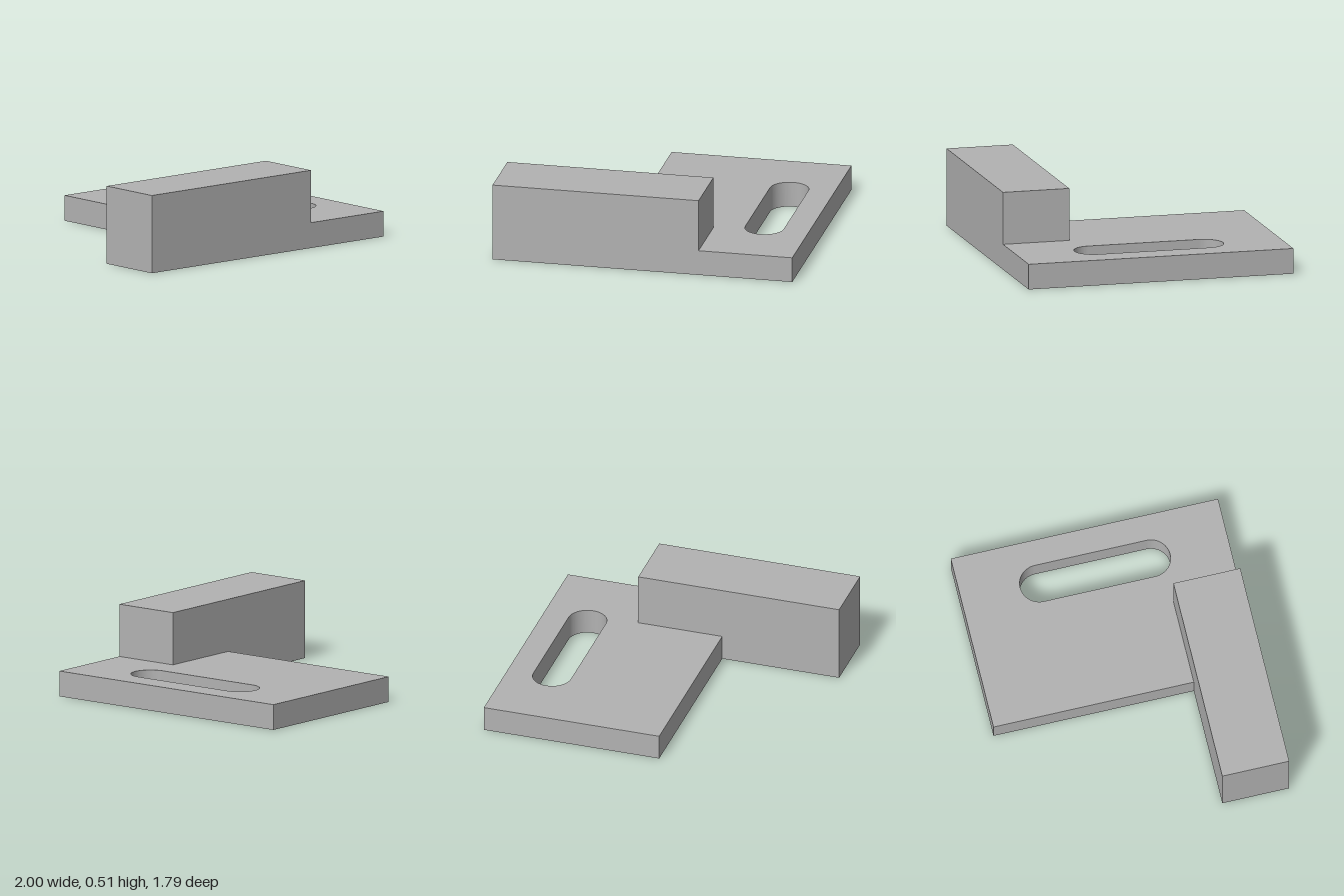
import * as THREE from 'three';
import { toCreasedNormals } from 'three/addons/utils/BufferGeometryUtils.js';

export function createModel() {
  const group = new THREE.Group();
  group.name = 'slottedBracket';
  const grey = new THREE.MeshStandardMaterial({ color: 0xb2b2b2 });
  grey.name = 'plain grey';

  const halfDepth = 0.895, barBack = 0.447, barEnd = 0.375;
  const plateHeight = 0.168, height = 0.515;

  // Base plate: L-shaped footprint drawn as (x, -z)
  const footprint = new THREE.Shape([
    [-1, -halfDepth], [1, -halfDepth], [1, halfDepth],
    [-0.2, halfDepth], [-0.2, -barBack], [-1, -barBack],
  ].map(([x, y]) => new THREE.Vector2(x, y)));

  // Rounded slot through the plate
  const slotX = 0.7, slotRadius = 0.128, slotHalf = 0.502 - slotRadius;
  const slot = new THREE.Path();
  slot.absarc(slotX, slotHalf, slotRadius, 0, Math.PI, false);
  slot.absarc(slotX, -slotHalf, slotRadius, Math.PI, Math.PI * 2, false);
  slot.closePath();
  footprint.holes.push(slot);

  const plateGeometry = new THREE.ExtrudeGeometry(footprint, {
    depth: plateHeight, bevelEnabled: false, curveSegments: 24,
  });
  plateGeometry.rotateX(-Math.PI / 2);
  const plate = new THREE.Mesh(toCreasedNormals(plateGeometry, 0.5), grey);
  plate.name = 'slottedBasePlate';
  group.add(plate);

  // Raised bar along the front, flush with the plate's front and left edges
  const bar = new THREE.Mesh(
    new THREE.BoxGeometry(barEnd + 1, height - plateHeight, halfDepth - barBack), grey);
  bar.position.set((barEnd - 1) / 2, (height + plateHeight) / 2, (halfDepth + barBack) / 2);
  bar.name = 'raisedBar';
  group.add(bar);

  return group;
}
